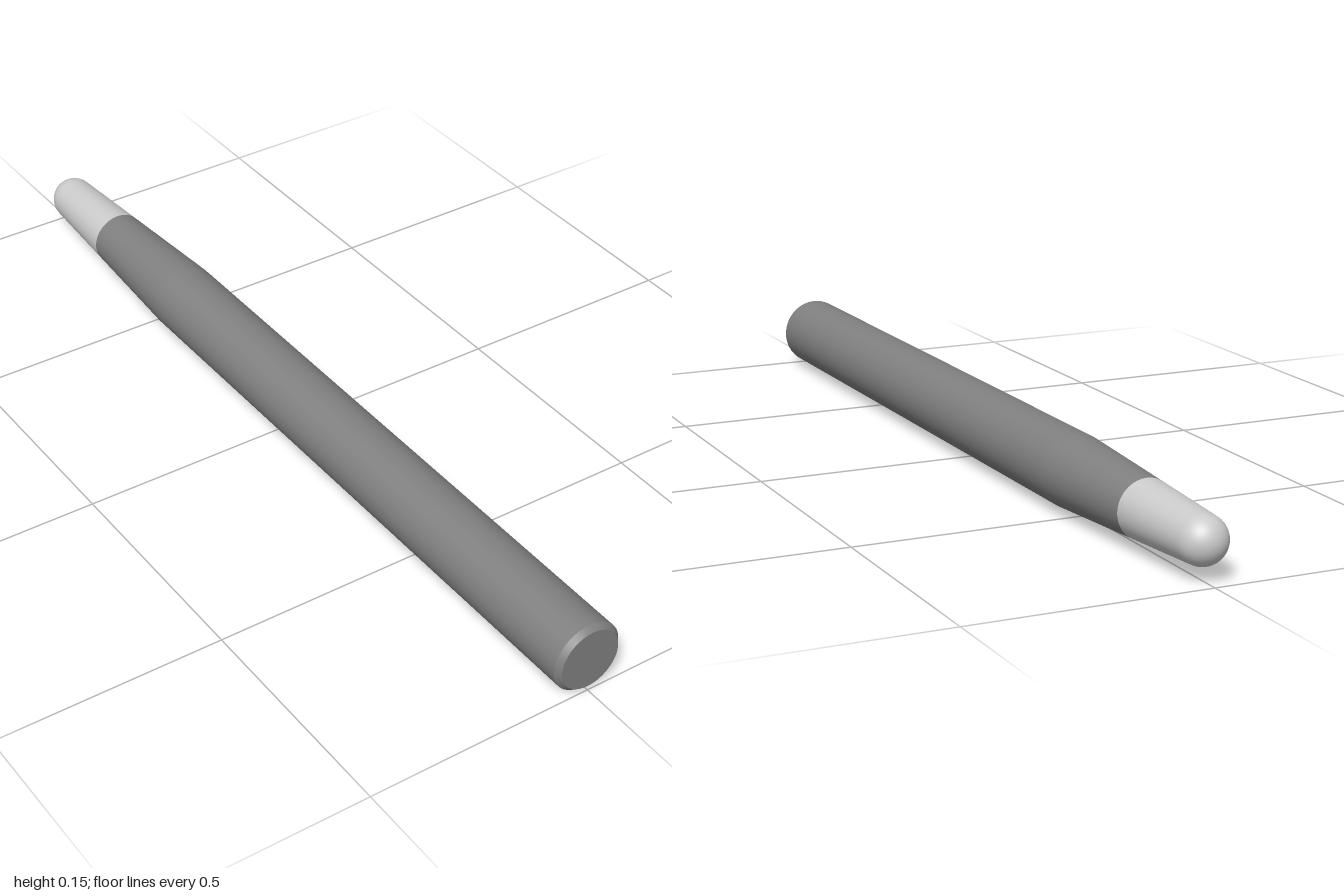
import * as THREE from 'three';

const R = 0.077;        // barrel radius
const TIP_R = 0.05;     // radius of the rounded point
const TAPER = 0.45;     // where the taper starts, measured toward the back
const TIP = 0.74;       // where the pale tip starts
const BALL = 1 - TIP_R; // centre of the rounded point
const SEAM_R = THREE.MathUtils.lerp(R, TIP_R, (TIP - TAPER) / (BALL - TAPER));

export function createModel() {
  const group = new THREE.Group();
  group.name = 'stylus';
  const dark = new THREE.MeshStandardMaterial({ color: 0x808080 });
  const pale = new THREE.MeshStandardMaterial({ color: 0xcccccc });

  // Turned part: profile of [radius, distance toward the back]
  const turn = (name, profile, material) => {
    const points = profile.map(([r, s]) => new THREE.Vector2(r, s));
    const mesh = new THREE.Mesh(new THREE.LatheGeometry(points, 64), material);
    mesh.name = name;
    mesh.rotation.x = -Math.PI / 2;
    mesh.position.y = R;
    group.add(mesh);
  };

  // Flat end and its chamfer, kept apart for crisp edges
  turn('endCap', [[0, -1], [0.067, -1]], dark);
  turn('endChamfer', [[0.067, -1], [R, -0.988]], dark);

  // Straight barrel and tapered neck
  turn('barrel', [[R, -0.988], [R, TAPER]], dark);
  turn('taperedNeck', [[R, TAPER], [SEAM_R, TIP]], dark);

  // Pale tip ending in a rounded point
  const tip = [[SEAM_R, TIP]];
  for (let i = 0; i <= 12; i++) {
    const a = (i / 12) * Math.PI / 2;
    tip.push([i === 12 ? 0 : TIP_R * Math.cos(a), BALL + TIP_R * Math.sin(a)]);
  }
  turn('tip', tip, pale);

  return group;
}
